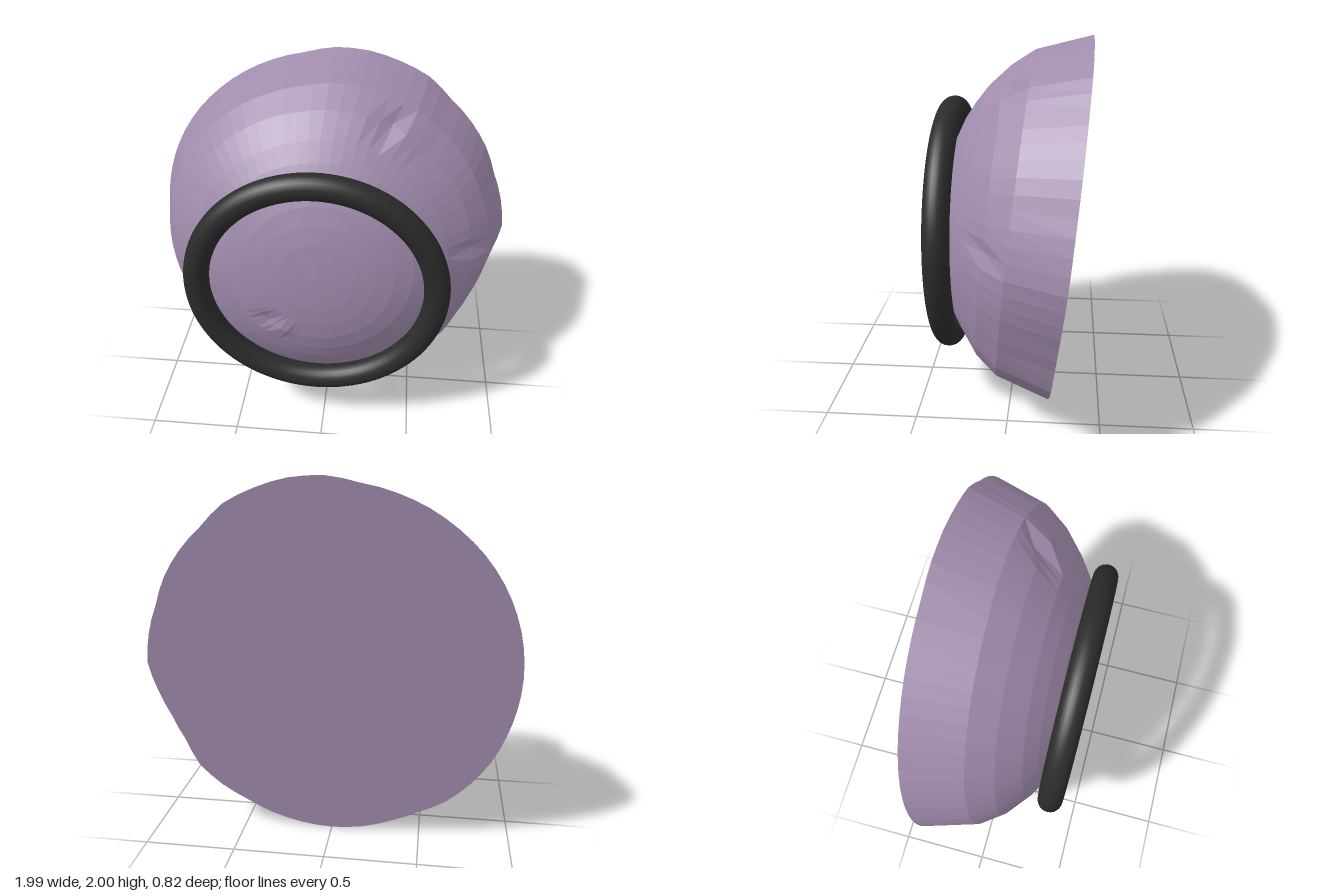
import * as THREE from 'three';

// rim radius every 10 degrees, anticlockwise from +x
const RIM = [0.99, 0.975, 0.96, 0.968, 0.97, 0.971, 0.996, 0.998, 1.003, 1.0, 0.982, 0.984,
  0.987, 0.989, 0.993, 0.995, 0.995, 0.995, 0.995, 0.995, 0.997, 1.003, 1.004, 1.003,
  0.986, 0.987, 0.997, 1.0, 0.996, 0.99, 0.981, 0.988, 0.988, 0.95, 0.945, 0.965];

// dome stations from rim to tip: [radius, centre x, centre y, centre z]
const STATIONS = [[1, 0, 1, -0.305], [0.905, -0.01, 1.02, -0.02], [0.81, -0.02, 1.03, 0.1],
  [0.68, -0.03, 1.05, 0.205], [0.59, -0.03, 1.055, 0.263], [0.5, -0.03, 1.06, 0.31],
  [0.4, -0.03, 1.06, 0.347], [0.3, -0.03, 1.065, 0.371], [0.2, -0.03, 1.07, 0.387],
  [0.1, -0.03, 1.07, 0.395], [0, -0.03, 1.07, 0.398]];

// small dents: [x, y, size, depth]
const DENTS = [[0.3, 1.76, 0.05, 0.06], [0.41, 1.72, 0.04, -0.03], [-0.3, 0.76, 0.05, 0.02],
  [-0.22, 0.7, 0.04, -0.015], [0.78, 1.1, 0.05, 0.03], [0.27, 0.17, 0.06, 0.04]];

const TILT = 0.105;
const SEGMENTS = 72;

function rimRadius(u) {
  const f = u * RIM.length, i = Math.floor(f);
  return THREE.MathUtils.lerp(RIM[i % RIM.length], RIM[(i + 1) % RIM.length], f - i);
}

function domePoint(station, j) {
  const [r, cx, cy, cz] = station;
  const u = (j % SEGMENTS) / SEGMENTS, a = u * Math.PI * 2;
  // the wobble of the rim fades towards the tip
  const radius = r * (1 + (rimRadius(u) - 1) * r ** 4);
  const x = cx + radius * Math.cos(a), y = cy + radius * Math.sin(a);
  let z = cz - TILT * (y - cy);
  if (r < 1) {
    for (const [dx, dy, size, depth] of DENTS) {
      z -= depth * Math.exp(-((x - dx) ** 2 + (y - dy) ** 2) / (size * size));
    }
  }
  return [x, y, z];
}

// unshared corners give flat facets
function facets(positions) {
  const geometry = new THREE.BufferGeometry();
  geometry.setAttribute('position', new THREE.Float32BufferAttribute(positions, 3));
  geometry.computeVertexNormals();
  return geometry;
}

function domeGeometry() {
  const p = [];
  for (let i = 0; i < STATIONS.length - 1; i++) {
    for (let j = 0; j < SEGMENTS; j++) {
      const a = domePoint(STATIONS[i], j), b = domePoint(STATIONS[i], j + 1);
      const c = domePoint(STATIONS[i + 1], j + 1), d = domePoint(STATIONS[i + 1], j);
      p.push(...a, ...b, ...c);
      if (STATIONS[i + 1][0] > 0) p.push(...a, ...c, ...d);
    }
  }
  return facets(p);
}

function backGeometry() {
  const p = [];
  for (let j = 0; j < SEGMENTS; j++) {
    p.push(0, 1, STATIONS[0][3], ...domePoint(STATIONS[0], j + 1), ...domePoint(STATIONS[0], j));
  }
  return facets(p);
}

export function createModel() {
  const model = new THREE.Group();
  const mauve = new THREE.MeshStandardMaterial({ color: 0xa08bac });
  mauve.name = 'mauve';
  const black = new THREE.MeshStandardMaterial({ color: 0x2b2b2b });
  black.name = 'black';

  const add = (name, geometry, material) => {
    const mesh = new THREE.Mesh(geometry, material);
    mesh.name = name;
    model.add(mesh);
    return mesh;
  };

  add('dome', domeGeometry(), mauve);
  add('flatBack', backGeometry(), mauve);
  // smooth ring around the front of the dome
  add('ring', new THREE.TorusGeometry(0.638, 0.068, 24, 96), black).position.set(-0.04, 0.955, 0.338);
  return model;
}
